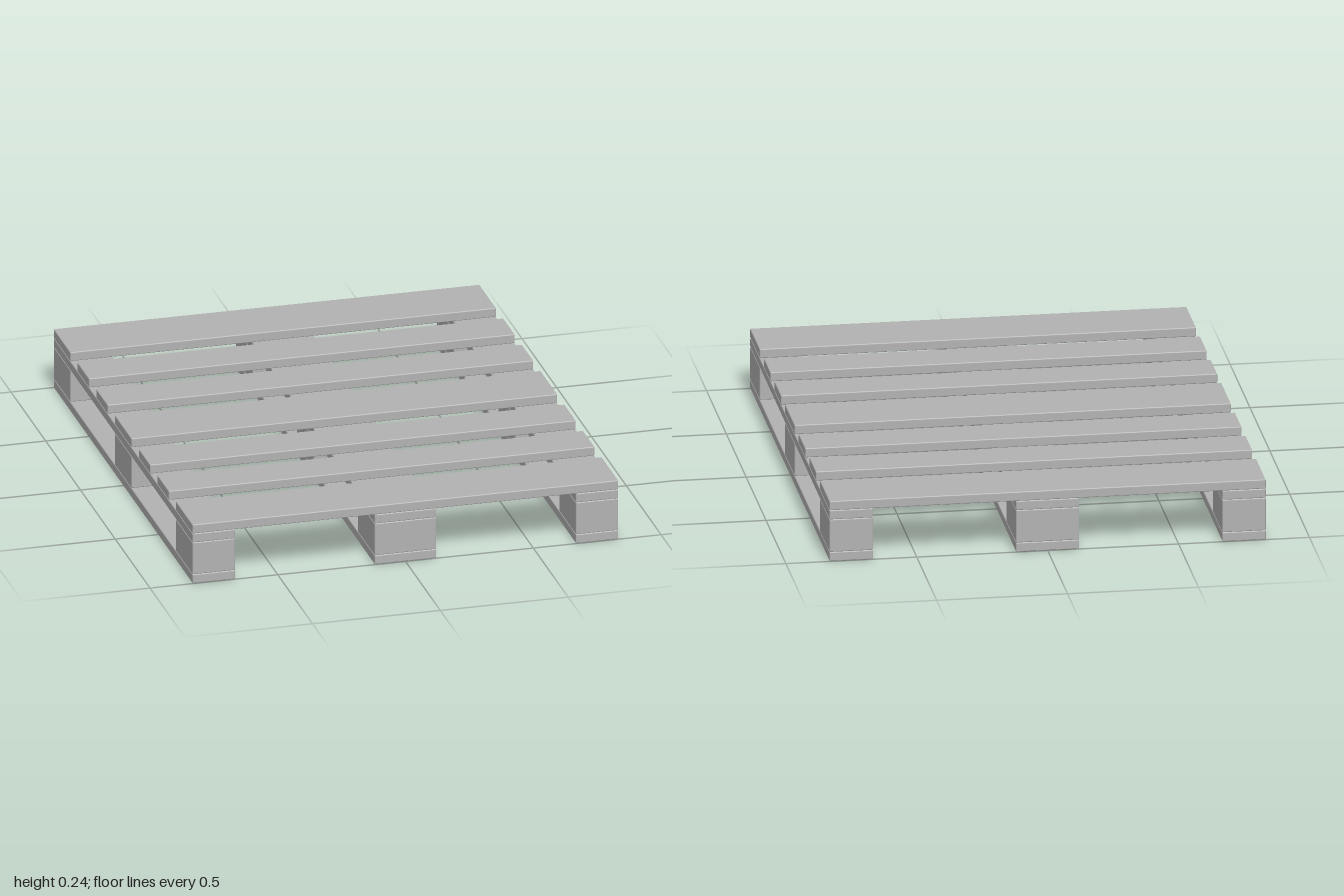
import * as THREE from 'three';
import { RoundedBoxGeometry } from 'three/addons/geometries/RoundedBoxGeometry.js';

export function createModel() {
  const pallet = new THREE.Group();
  pallet.name = 'pallet';
  const wood = new THREE.MeshStandardMaterial({ color: 0xb2b2b2 });
  wood.name = 'grey wood';

  const W = 1.667, L = 2;              // overall width and length
  const wide = 0.2417, narrow = 0.1667; // board widths
  const board = 0.0367, block = 0.13;   // layer heights

  // Slightly eased timber, placed by its base height
  function timber(name, w, h, d, x, y, z) {
    const mesh = new THREE.Mesh(new RoundedBoxGeometry(w, h, d, 1, 0.004), wood);
    mesh.name = name;
    mesh.position.set(x, y + h / 2, z);
    pallet.add(mesh);
  }

  // Three runners: bottom board, three blocks and an upper board
  const sideX = (W - narrow) / 2, endZ = (L - wide) / 2;
  for (const [x, w] of [[-sideX, narrow], [0, wide], [sideX, narrow]]) {
    timber('bottomBoard', w, board, L, x, 0, 0);
    for (const z of [-endZ, 0, endZ]) timber('spacerBlock', w, block, wide, x, board, z);
    timber('stringerBoard', w, board, L, x, board + block, 0);
  }

  // Seven deck boards: wide at the ends and middle, narrow between
  const gap = (L - 3 * wide - 4 * narrow) / 6;
  let z = -L / 2;
  for (let i = 0; i < 7; i++) {
    const d = i % 3 === 0 ? wide : narrow;
    timber('deckBoard', W, board, d, 0, 2 * board + block, z + d / 2);
    z += d + gap;
  }
  return pallet;
}
